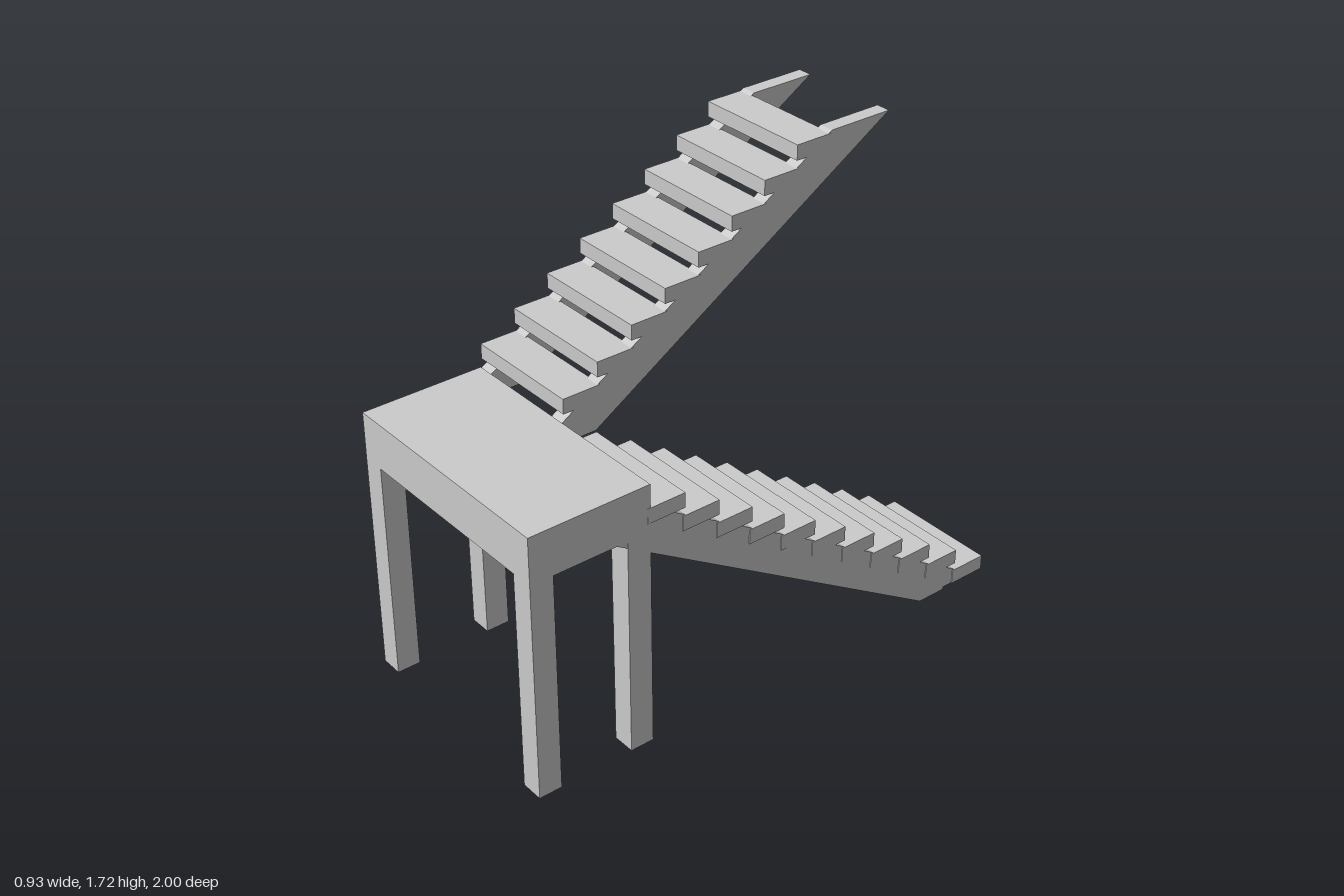
import * as THREE from 'three';

const material = new THREE.MeshStandardMaterial({ color: 0xcccccc, flatShading: true });
const RISE = 0.0865, RUN = 0.14, DEPTH = 0.15, THICK = 0.057;

// Box given by its extents on each axis
function block(name, [x0, x1], [y0, y1], [z0, z1]) {
  const mesh = new THREE.Mesh(new THREE.BoxGeometry(x1 - x0, y1 - y0, z1 - z0), material);
  mesh.position.set((x0 + x1) / 2, (y0 + y1) / 2, (z0 + z1) / 2);
  mesh.name = name;
  return mesh;
}

// Side board: a (z, y) outline extruded along x
function stringer(outline, x0, x1) {
  const shape = new THREE.Shape(outline.map(([z, y]) => new THREE.Vector2(z, y)));
  const geo = new THREE.ExtrudeGeometry(shape, { depth: x1 - x0, bevelEnabled: false });
  geo.rotateY(-Math.PI / 2);
  const mesh = new THREE.Mesh(geo, material);
  mesh.position.x = x1;
  mesh.name = 'stringer';
  return mesh;
}

// Flight of open treads on two stringers; dir is the z direction of the climb
function flight(name, x0, x1, outline, count, noseZ, topY, dir) {
  const group = new THREE.Group();
  group.name = name;
  group.add(stringer(outline, x0 + 0.003, x0 + 0.06), stringer(outline, x1 - 0.06, x1 - 0.003));
  for (let i = 0; i < count; i++) {
    const a = noseZ + dir * RUN * i, b = a + dir * DEPTH, y = topY + RISE * i;
    group.add(block('tread', [x0, x1], [y - THICK, y], [Math.min(a, b), Math.max(a, b)]));
  }
  return group;
}

export function createModel() {
  const model = new THREE.Group();

  // Landing platform and its four legs
  model.add(block('landing', [-0.46, 0.46], [0.842, 1.018], [0.537, 1]));
  for (const side of [-1, 1]) {
    const xs = side < 0 ? [-0.46, -0.375] : [0.375, 0.46];
    model.add(block('frontLeg', xs, [0.005, 0.842], [0.912, 1]));
    model.add(block('backLeg', xs, [0.005, 0.842], [0.537, 0.628]));
  }

  // Lower flight climbs forward up to the landing
  model.add(flight('lowerFlight', 0, 0.462, [
    [-0.805, 0], [-0.692, 0], [0.672, 0.843], [0.672, 0.9], [0.54, 0.933],
    [-0.86, 0.067], [-0.86, 0.01], [-0.81, 0.01],
  ], 11, -1, 0.066, 1));

  // Upper flight climbs backward from the landing
  model.add(flight('upperFlight', -0.463, 0, [
    [0.537, 0.935], [0.537, 1.013], [-0.605, 1.718], [-0.866, 1.718], [0.4, 0.935],
  ], 8, 0.53, 1.104, -1));

  return model;
}
